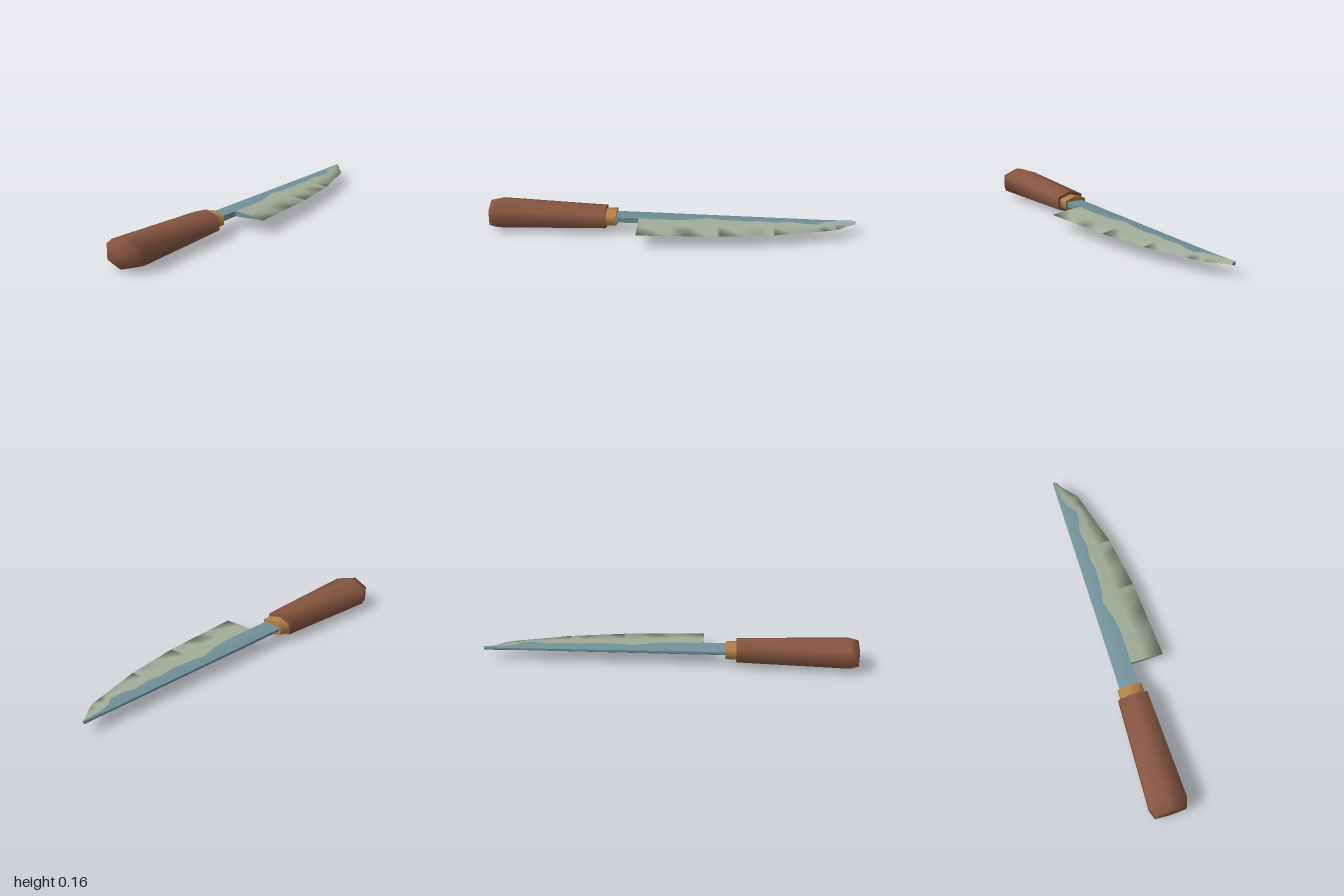
import * as THREE from 'three';
import { toCreasedNormals } from 'three/addons/utils/BufferGeometryUtils.js';

const material = (name, color, side = THREE.FrontSide) => {
  const m = new THREE.MeshStandardMaterial({ color, side });
  m.name = name;
  return m;
};

// Skin over rings of [x, y, z] points that follow one another along +x
function loft(rings, closed) {
  const n = rings[0].length, index = [];
  for (let i = 0; i < rings.length - 1; i++) {
    for (let j = 0; j < (closed ? n : n - 1); j++) {
      const k = (j + 1) % n;
      const a = i * n + j, b = a + n, c = (i + 1) * n + k, d = i * n + k;
      index.push(a, b, d, b, c, d);
    }
  }
  return finish(rings.flat(), index);
}

// Flat end face of a ring
function cap(ring, atEnd) {
  const index = [];
  for (let j = 1; j < ring.length - 1; j++) {
    if (atEnd) index.push(0, j + 1, j);
    else index.push(0, j, j + 1);
  }
  return finish(ring, index);
}

function finish(points, index) {
  const g = new THREE.BufferGeometry();
  g.setAttribute('position', new THREE.Float32BufferAttribute(points.flat(), 3));
  g.setIndex(index);
  g.computeVertexNormals();
  return g;
}

// Six-sided ring with its points up and down
function hexRing(x, y, z, w, h) {
  const s = h * 0.57;
  return [[w, -s], [w, s], [0, h], [-w, s], [-w, -s], [0, -h]]
    .map(([dz, dy]) => [x, y + dy, z + dz]);
}

// Linear interpolation along [x, value] pairs
function sample(table, x) {
  for (let i = 1; i < table.length; i++) {
    const [x0, v0] = table[i - 1], [x1, v1] = table[i];
    if (x <= x1) return v0 + (v1 - v0) * (x - x0) / (x1 - x0);
  }
  return table[table.length - 1][1];
}

// Cutting edge and wavy temper line, as [x, z]
const EDGE = [[-0.18, 0.167], [0.25, 0.145], [0.56, 0.1], [0.88, 0.012], [0.97, -0.06], [1, -0.077]];
const TEMPER = [[-0.31, -0.012], [-0.18, -0.012], [0, -0.01], [0.1, -0.022], [0.2, -0.052],
  [0.27, -0.036], [0.4, -0.028], [0.48, -0.04], [0.55, -0.03], [0.65, -0.045], [0.72, -0.028],
  [0.79, -0.025], [0.83, -0.062], [0.9, -0.083], [0.97, -0.088], [1, -0.09]];
const SPINE = [[-0.31, -0.115], [0.9, -0.1], [1, -0.098]];

const middle = (x) => 0.08 - 0.0102 * (x + 0.3);
const halfThick = (x) => 0.0148 - 0.004 * (x + 0.3);

// Cross-section of the steel back
function steelRing(x) {
  const y = middle(x), t = halfThick(x), s = sample(SPINE, x), r = sample(TEMPER, x);
  const round = Math.min(0.01, (r - s) * 0.4);
  return [[x, y + t, r], [x, y + t * 0.95, s + round], [x, y + t * 0.5, s], [x, y - t * 0.5, s],
    [x, y - t * 0.95, s + round], [x, y - t, r]];
}

// Cross-section of the ground cutting side
function bevelRing(x) {
  const y = middle(x), t = halfThick(x), r = sample(TEMPER, x), e = sample(EDGE, x);
  const m = r + (e - r) * 0.42, ye = y - 0.004;
  return [[x, y - t, r], [x, y - t * 0.7 - 0.001, m], [x, ye, e], [x, y + t * 0.7 - 0.001, m], [x, y + t, r]];
}

export function createModel() {
  const group = new THREE.Group();
  const wood = material('brown wood', 0x875641);
  const brass = material('golden collar', 0xb58046);
  const steel = material('blue steel', 0x71919a);
  const pale = material('pale steel', 0xa1ad98, THREE.DoubleSide);

  const add = (name, geometry, mat) => {
    const mesh = new THREE.Mesh(geometry, mat);
    mesh.name = name;
    group.add(mesh);
  };

  // Handle with a softly chamfered butt
  const handleRings = [
    hexRing(-1, 0.083, -0.071, 0.0001, 0.0001),
    hexRing(-1, 0.083, -0.071, 0.084, 0.072),
    hexRing(-0.95, 0.083, -0.071, 0.1, 0.082),
    hexRing(-0.36, 0.078, -0.062, 0.079, 0.063),
  ];
  add('handle', loft(handleRings, true), wood);
  add('handleFront', cap(handleRings[3], true), wood);

  // Collar between handle and blade
  const collarRings = [
    hexRing(-0.37, 0.078, -0.062, 0.065, 0.044),
    hexRing(-0.303, 0.078, -0.062, 0.065, 0.044),
  ];
  add('collar', loft(collarRings, true), brass);
  add('collarFront', cap(collarRings[1], true), brass);

  // Blade: tang and steel back
  const steelRings = TEMPER.map(([x]) => steelRing(x));
  add('bladeBack', toCreasedNormals(loft(steelRings, true), 0.7), steel);
  add('bladeBackTip', cap(steelRings[steelRings.length - 1], true), steel);

  // Blade: cutting side from heel to tip
  const stations = [...new Set([...TEMPER.slice(1), ...EDGE].map(([x]) => x))].sort((a, b) => a - b);
  const bevelRings = stations.map(bevelRing);
  add('cuttingSide', loft(bevelRings, false), pale);
  add('heel', cap(bevelRings[0], false), steel);
  add('tip', cap(bevelRings[bevelRings.length - 1], true), steel);

  return group;
}
